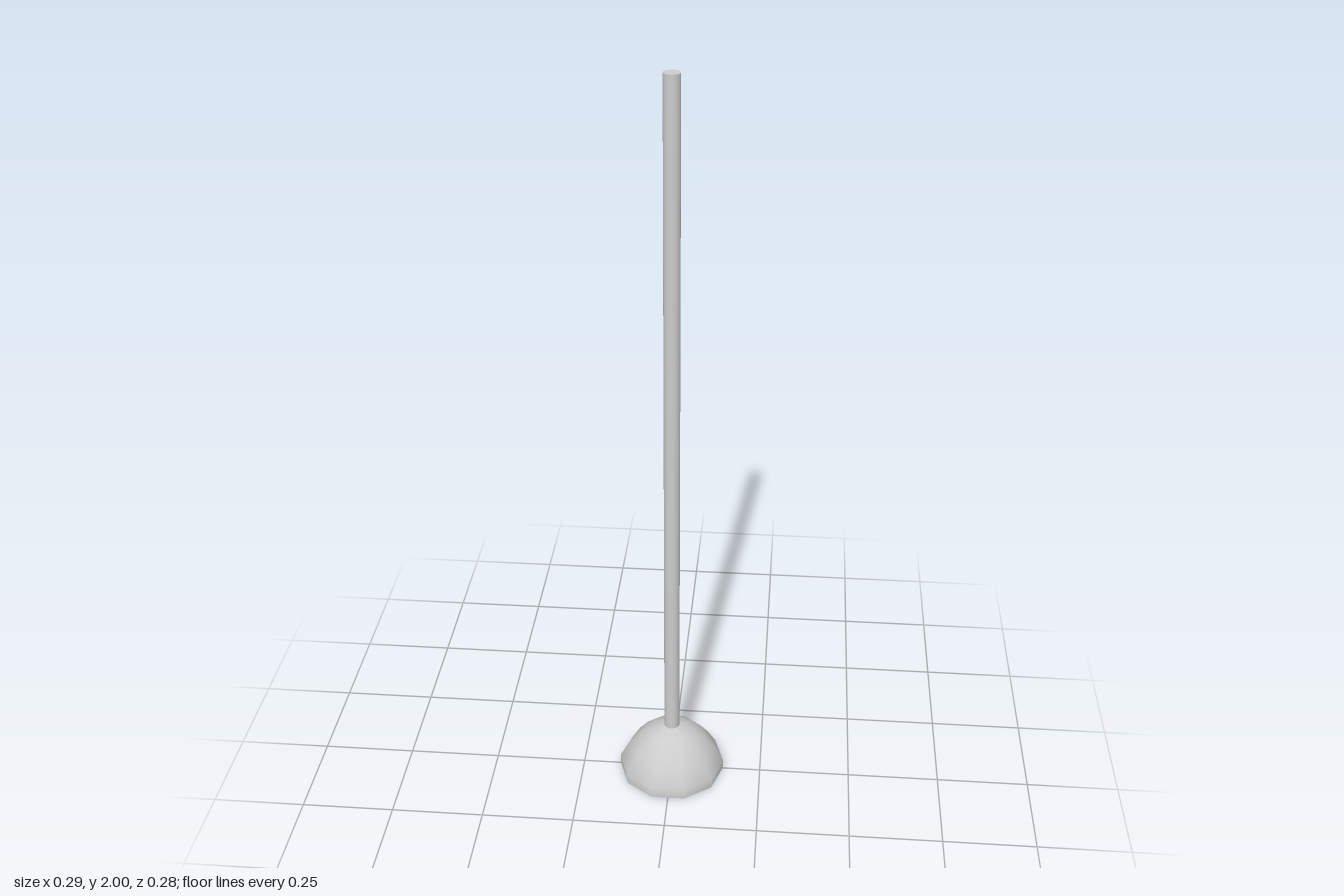
import * as THREE from 'three';

export function createModel() {
  const group = new THREE.Group();
  const material = new THREE.MeshStandardMaterial({ color: 0xcccccc });
  const cupMaterial = new THREE.MeshStandardMaterial({ color: 0xcccccc, side: THREE.DoubleSide });

  // Hollow ten-sided suction cup, open underneath, with corners on the x axis
  const profile = [
    [0.145, 0], [0.145, 0.03], [0.12, 0.072], [0.09, 0.11], [0.06, 0.13], [0.02, 0.15], [0, 0.15],
  ].map(([r, y]) => new THREE.Vector2(r, y));
  const cup = new THREE.Mesh(new THREE.LatheGeometry(profile, 10, Math.PI / 2), cupMaterial);
  cup.name = 'suctionCup';
  group.add(cup);

  // Long straight handle standing on the cup
  const bottom = 0.145, top = 2;
  const handle = new THREE.Mesh(
    new THREE.CylinderGeometry(0.021, 0.021, top - bottom, 24), material);
  handle.position.y = (top + bottom) / 2;
  handle.name = 'handle';
  group.add(handle);

  return group;
}
